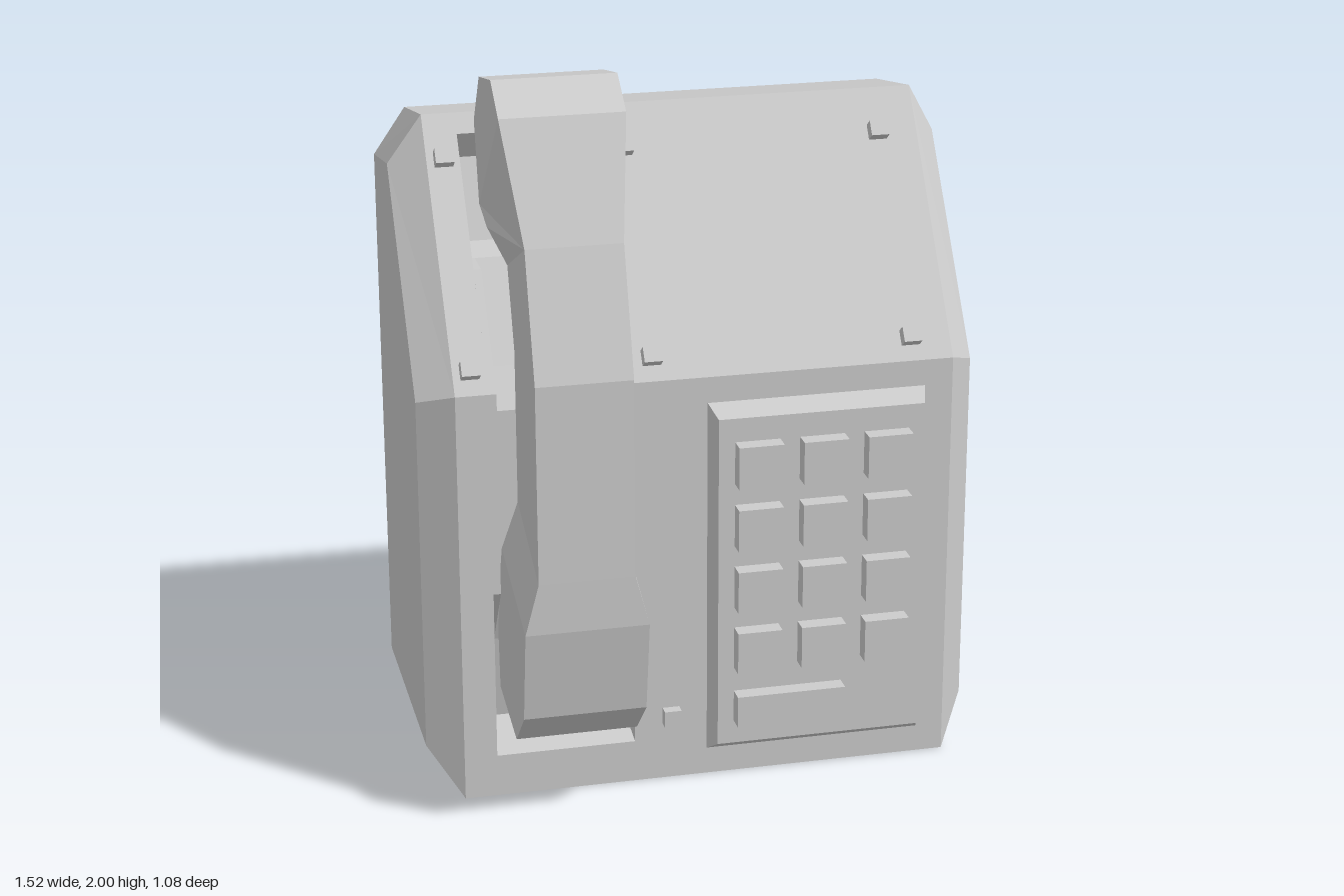
import * as THREE from 'three';

const grey = new THREE.MeshStandardMaterial({ color: 0xcccccc, flatShading: true });

function mesh(name, geometry) {
  const m = new THREE.Mesh(geometry, grey);
  m.name = name;
  return m;
}

// Skin through convex rings, each counter-clockwise about the direction of travel, with both ends capped
function loft(rings) {
  const pos = [];
  const tri = (...pts) => pts.forEach((p) => pos.push(...p));
  const n = rings[0].length;
  for (let i = 0; i < rings.length - 1; i++) {
    const a = rings[i], b = rings[i + 1];
    for (let j = 0; j < n; j++) {
      const k = (j + 1) % n;
      tri(a[j], a[k], b[k]);
      tri(a[j], b[k], b[j]);
    }
  }
  const first = rings[0], last = rings[rings.length - 1];
  for (let j = 1; j < n - 1; j++) {
    tri(first[0], first[j + 1], first[j]);
    tri(last[0], last[j], last[j + 1]);
  }
  const g = new THREE.BufferGeometry();
  g.setAttribute('position', new THREE.Float32BufferAttribute(pos, 3));
  g.computeVertexNormals();
  return g;
}

// Side profile of [z, y] points extruded from x0 to x1
function slab(profile, x0, x1) {
  const shape = new THREE.Shape(profile.map(([z, y]) => new THREE.Vector2(z, y)));
  return new THREE.ExtrudeGeometry(shape, { depth: x1 - x0, bevelEnabled: false })
    .rotateY(-Math.PI / 2).translate(x1, 0, 0);
}

function box(name, x0, x1, y0, y1, z0, z1) {
  const m = mesh(name, new THREE.BoxGeometry(x1 - x0, y1 - y0, z1 - z0));
  m.position.set((x0 + x1) / 2, (y0 + y1) / 2, (z0 + z1) / 2);
  return m;
}

function createBody() {
  const body = new THREE.Group();
  body.name = 'body';
  const full = [[-0.23, 1.81], [0.23, 1.17], [0.23, 0], [-0.54, 0], [-0.54, 1.75]];
  const inset = [[-0.23, 1.68], [0.165, 1.14], [0.165, 0.14], [-0.49, 0.14], [-0.49, 1.635]];
  const at = (profile, x) => profile.map(([z, y]) => [x, y, z]);

  // Chamfered ends
  body.add(mesh('rightEnd', loft([at(inset, -0.765), at(full, -0.67)])));
  body.add(mesh('leftEnd', loft([at(full, 0.69), at(inset, 0.76)])));

  // Solid sections either side of the cradle
  body.add(mesh('rightSection', slab(full, -0.67, -0.58)));
  body.add(mesh('leftSection', slab(full, -0.195, 0.69)));

  // Cradle: ear pocket above, mouth pocket below, shallow channel between
  const cradle = (channel) => [
    [-0.54, 0], [-0.54, 1.75], [-0.23, 1.81], [-0.194, 1.76],
    [-0.25, 1.68], [-0.16, 1.47], [-0.07, 1.45], ...channel,
    [0.1, 0.41], [0.05, 0.155], [0.23, 0.12], [0.23, 0],
  ];
  const sunk = cradle([[0.1, 1.2], [0.17, 1.1], [0.17, 0.6]]);
  const flush = cradle([[0.029, 1.45], [0.23, 1.17], [0.23, 0.6]]);
  body.add(mesh('cradle', slab(sunk, -0.56, -0.212)));
  body.add(mesh('cradleRightRim', slab(flush, -0.58, -0.56)));
  body.add(mesh('cradleLeftRim', slab(flush, -0.212, -0.195)));
  return body;
}

function createHandset() {
  const wide = 0.165, slim = 0.128;
  // Outer z, y, half width, then inner z, y, half width, from top to bottom
  const sections = [
    [0.18, 2.0, wide, 0.005, 1.965, wide],
    [0.285, 1.925, wide, -0.09, 1.825, wide],
    [0.42, 1.62, slim, -0.035, 1.61, wide],
    [0.42, 1.62, slim, 0.08, 1.58, wide],
    [0.42, 1.62, slim, 0.165, 1.5, slim],
    [0.53, 1.29, slim, 0.245, 1.29, slim],
    [0.535, 0.75, slim, 0.25, 0.87, slim],
    [0.535, 0.61, wide, 0.2, 0.72, wide],
    [0.49, 0.35, wide, 0.11, 0.5, wide],
    [0.37, 0.235, wide, 0.13, 0.28, wide],
  ];
  const handset = mesh('handset', loft(sections.map(([zo, yo, wo, zi, yi, wi]) =>
    [[wo, yo, zo], [-wo, yo, zo], [-wi, yi, zi], [wi, yi, zi]])));
  handset.position.x = -0.385;
  return handset;
}

function createKeypad() {
  const keypad = new THREE.Group();
  keypad.name = 'keypad';
  const rect = (x0, x1, y0, y1, z) => [[x0, y0, z], [x1, y0, z], [x1, y1, z], [x0, y1, z]];
  keypad.add(mesh('keypadPanel', loft([
    rect(0.008, 0.613, 0.077, 1.097, 0.22),
    rect(0.008, 0.613, 0.077, 1.097, 0.23),
    rect(0.027, 0.597, 0.11, 1.065, 0.28),
  ])));
  // Twelve keys and the wide bar below
  for (let row = 0; row < 4; row++) {
    for (let col = 0; col < 3; col++) {
      const x = 0.072 + col * 0.179, y = 0.338 + row * 0.18;
      keypad.add(box('key', x, x + 0.124, y, y + 0.12, 0.27, 0.327));
    }
  }
  keypad.add(box('wideKey', 0.072, 0.376, 0.178, 0.268, 0.27, 0.327));
  return keypad;
}

export function createModel() {
  const model = new THREE.Group();
  model.name = 'deskTelephone';
  model.add(createBody(), createHandset(), createKeypad());
  model.add(box('indicator', -0.117, -0.07, 0.165, 0.213, 0.22, 0.26));

  // Pegs standing square to the sloping face
  const tilt = Math.atan2(0.46, 0.64);
  for (const x of [-0.625, -0.138, 0.577]) {
    for (const [y, z] of [[1.712, -0.142], [1.232, 0.203]]) {
      const peg = mesh('peg', new THREE.BoxGeometry(0.05, 0.043, 0.04));
      peg.position.set(x, y, z);
      peg.rotation.x = -tilt;
      model.add(peg);
    }
  }
  return model;
}
